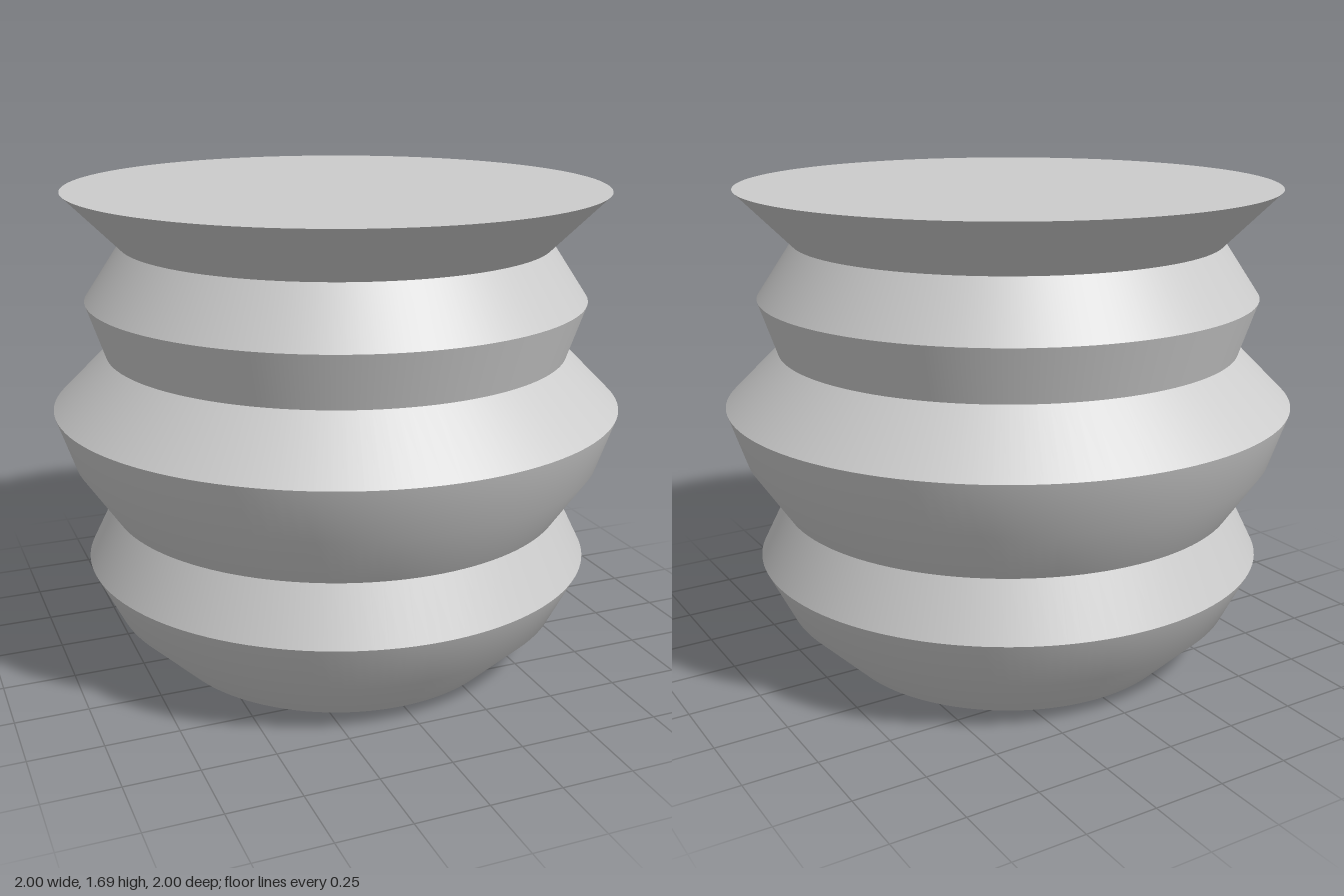
import * as THREE from 'three';

export function createModel() {
  const group = new THREE.Group();
  group.name = 'ribbedVessel';
  const lightGrey = new THREE.MeshStandardMaterial({ color: 0xcccccc });
  lightGrey.name = 'lightGrey';

  const segments = 128;
  const step = 0.1875; // even height between rings
  const radii = [0.625, 0.8125, 0.905, 0.8125, 0.9375, 1, 0.8125, 0.875, 0.75, 0.9375];
  const rings = radii.map((r, i) => new THREE.Vector2(r, i * step));

  const add = (name, geometry) => {
    const mesh = new THREE.Mesh(geometry, lightGrey);
    mesh.name = name;
    group.add(mesh);
    return mesh;
  };

  // Wall bands: smooth within each band, sharp crease between bands
  const bands = [
    ['lowerBowl', 0, 2], ['lowerShoulder', 2, 3], ['middleBowl', 3, 5], ['middleShoulder', 5, 6],
    ['upperBowl', 6, 7], ['upperShoulder', 7, 8], ['flaredRim', 8, 9],
  ];
  for (const [name, from, to] of bands) {
    add(name, new THREE.LatheGeometry(rings.slice(from, to + 1), segments));
  }

  // Flat closing discs
  const top = add('topDisc', new THREE.CircleGeometry(radii[9], segments));
  top.rotation.x = -Math.PI / 2;
  top.position.y = 9 * step;
  const base = add('baseDisc', new THREE.CircleGeometry(radii[0], segments));
  base.rotation.x = Math.PI / 2;

  return group;
}
